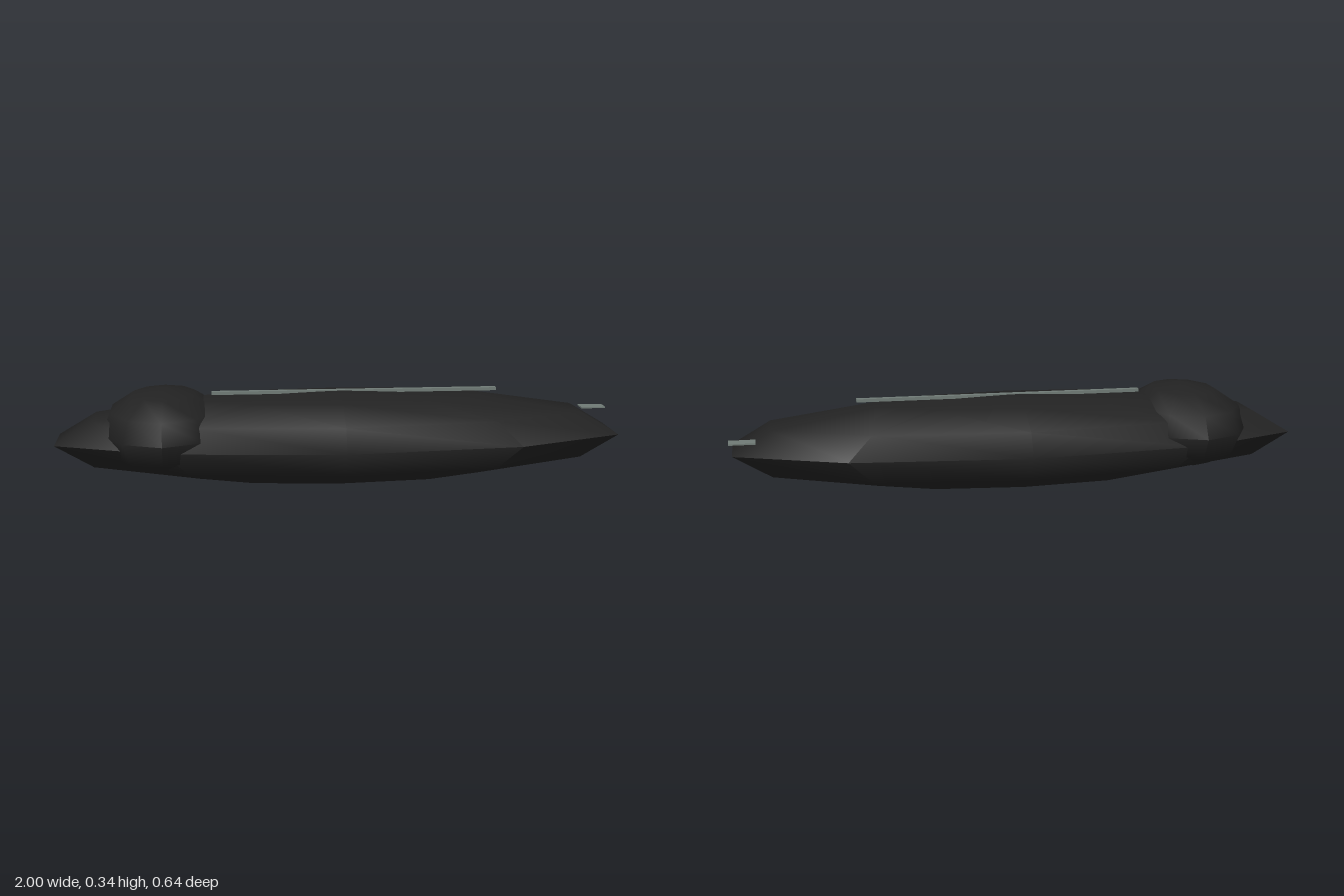
import * as THREE from 'three';
import { toCreasedNormals } from 'three/addons/utils/BufferGeometryUtils.js';

export function createModel() {
  const model = new THREE.Group();
  const hullBlack = new THREE.MeshStandardMaterial({ color: 0x222222 });
  const trimGrey = new THREE.MeshStandardMaterial({ color: 0x6f7a75 });

  const add = (name, geometry, material, x, y, z) => {
    const mesh = new THREE.Mesh(geometry, material);
    mesh.name = name;
    mesh.position.set(x, y, z);
    model.add(mesh);
  };

  // Ten-sided squashed sphere, turned so its corners point to +z and -z
  const ellipsoid = (halfX, halfY, halfZ) => {
    const g = new THREE.SphereGeometry(1, 10, 6);
    g.rotateY(Math.PI / 2);
    g.scale(halfX / Math.cos(Math.PI / 10), halfY, halfZ);
    return toCreasedNormals(g, 1.1);
  };

  // Long flattened hull and the domed head across its -x end
  add('hull', ellipsoid(0.995, 0.162, 0.32), hullBlack, -0.005, 0.163, 0);
  add('headDome', ellipsoid(0.215, 0.148, 0.31), hullBlack, -0.622, 0.197, 0);

  // Thin spine rail and the small plate above the +x tip
  add('spineRail', new THREE.BoxGeometry(1.015, 0.011, 0.022), trimGrey, 0.052, 0.321, 0);
  add('tailPlate', new THREE.BoxGeometry(0.09, 0.005, 0.055), trimGrey, 0.955, 0.22, -0.136);

  return model;
}
